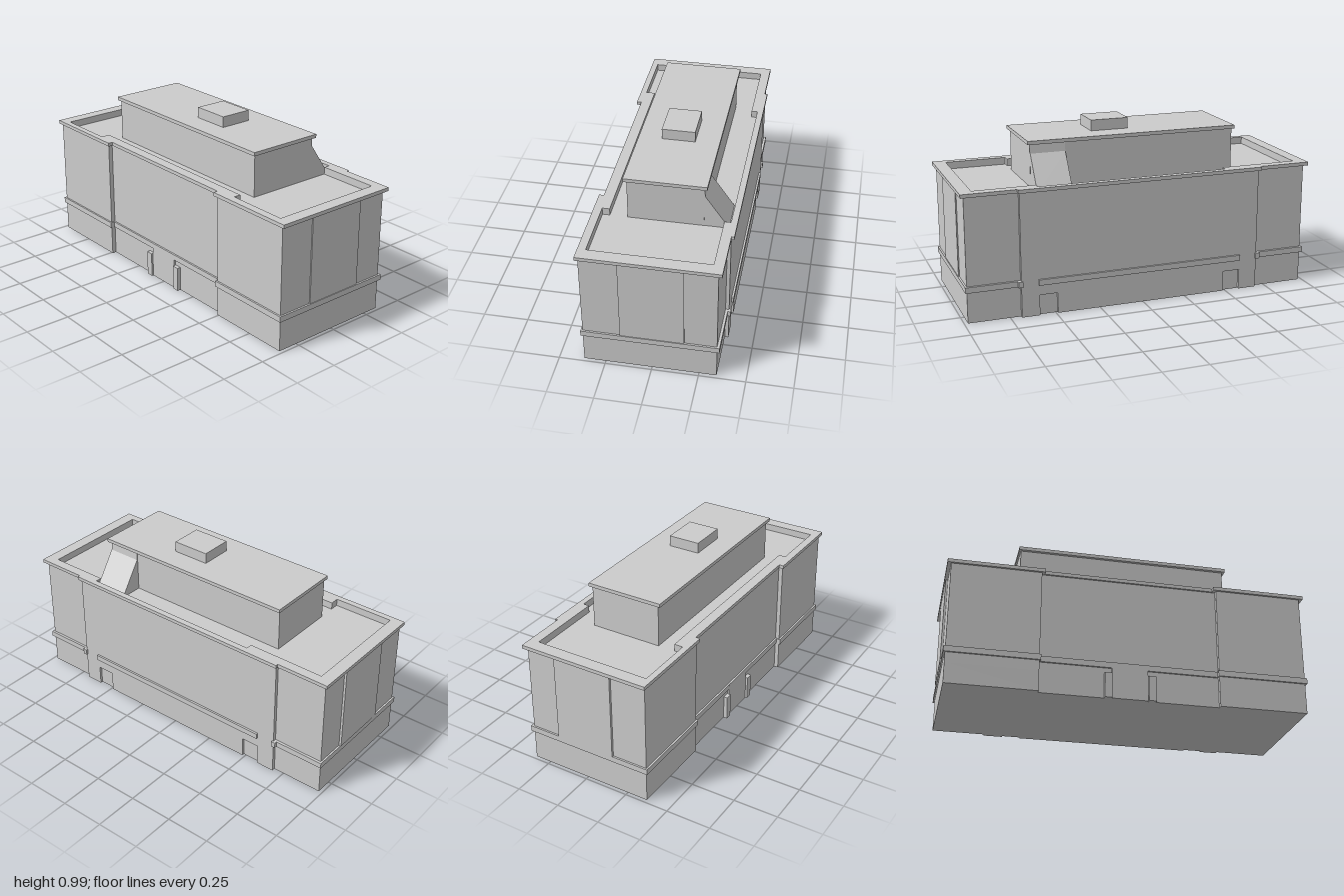
import * as THREE from 'three';

const grey = new THREE.MeshStandardMaterial({ color: 0xcccccc, flatShading: true });

export function createModel() {
  const model = new THREE.Group();

  const add = (name, geometry) => {
    const mesh = new THREE.Mesh(geometry, grey);
    mesh.name = name;
    model.add(mesh);
    return mesh;
  };

  // Box given by its limits
  const box = (name, x0, x1, y0, y1, z0, z1) =>
    add(name, new THREE.BoxGeometry(x1 - x0, y1 - y0, z1 - z0))
      .position.set((x0 + x1) / 2, (y0 + y1) / 2, (z0 + z1) / 2);

  // Upright prism over a floor plan of [x, z] corners, with an optional hole
  const toPoints = (plan) => plan.map(([x, z]) => new THREE.Vector2(x, -z));
  const prism = (name, plan, y0, y1, hole) => {
    const shape = new THREE.Shape(toPoints(plan));
    if (hole) shape.holes.push(new THREE.Path(toPoints(hole)));
    const g = new THREE.ExtrudeGeometry(shape, { depth: y1 - y0, bevelEnabled: false });
    g.rotateX(-Math.PI / 2);
    g.translate(0, y0, 0);
    return add(name, g);
  };

  // Floor plan: recessed front centre, projecting back centre, optional back notches
  const floorPlan = (x, frontX, frontWing, frontMid, backX, backWing, backMid, notches = []) => [
    [-x, frontWing], [-frontX, frontWing], [-frontX, frontMid],
    [frontX, frontMid], [frontX, frontWing], [x, frontWing],
    [x, backWing], [backX, backWing], [backX, backMid],
    ...notches.flatMap(([a, b, z]) => [[a, backMid], [a, z], [b, z], [b, backMid]]),
    [-backX, backMid], [-backX, backWing], [-x, backWing],
  ];

  const walls = [0.98, 0.49, 0.367, 0.343, 0.69, -0.343, -0.362];
  const roofWell = [
    [-0.93, 0.345], [-0.59, 0.345], [-0.59, 0.295], [0.585, 0.295], [0.585, 0.335], [0.93, 0.335],
    [0.93, -0.31], [0.585, -0.31], [0.585, -0.345], [-0.49, -0.345], [-0.49, -0.31], [-0.93, -0.31],
  ];

  // Main block, with two recessed back doors at ground level
  const backDoors = [[0.59, 0.49, -0.348], [-0.485, -0.585, -0.348]];
  prism('groundFloor', floorPlan(...walls, backDoors), 0, 0.115);
  prism('mainWalls', floorPlan(...walls), 0.115, 0.67);
  prism('parapet', floorPlan(...walls), 0.67, 0.69, roofWell);
  prism('cornice', floorPlan(1, 0.473, 0.379, 0.353, 0.70, -0.364, -0.379), 0.69, 0.71, roofWell);

  // Belt course around the front, sides and back wings
  prism('beltCourse', floorPlan(0.99, 0.483, 0.377, 0.353, 0.69, -0.357, -0.357), 0.172, 0.204);
  box('backBeltCourse', -0.585, 0.595, 0.172, 0.204, -0.373, -0.36);
  for (const s of [-1, 1]) {
    const x = s * 0.695;
    box('beltEnd', x - 0.012, x + 0.012, 0.172, 0.204, -0.373, -0.34);
  }

  // Shallow panels on the end walls
  box('leftEndPanel', 0.97, 0.986, 0.204, 0.69, -0.172, 0.167);
  box('rightEndPanel', -0.993, -0.97, 0.204, 0.69, -0.172, 0.167);

  // Front entrance
  box('entranceSurround', -0.10, 0.097, 0, 0.204, 0.33, 0.3535);
  for (const s of [-1, 1]) {
    const x = s * 0.12;
    box('entrancePier', x - 0.02, x + 0.02, 0, 0.14, 0.33, 0.364);
  }

  // Rooftop storey
  box('penthouse', -0.59, 0.585, 0.66, 0.905, -0.205, 0.2);
  box('penthouseRoof', -0.6, 0.6, 0.905, 0.925, -0.222, 0.216);
  box('roofVent', -0.01, 0.205, 0.925, 0.985, -0.091, 0.09);

  // Sloping stair cover behind the penthouse, extruded along x
  const slope = new THREE.Shape([
    [0.19, 0.66], [0.19, 0.905], [0.205, 0.905], [0.21, 0.855], [0.335, 0.673], [0.335, 0.66],
  ].map(([d, y]) => new THREE.Vector2(d, y)));
  const cover = new THREE.ExtrudeGeometry(slope, { depth: 0.194, bevelEnabled: false });
  cover.rotateY(Math.PI / 2);
  cover.translate(0.39, 0, 0);
  add('stairCover', cover);

  return model;
}
